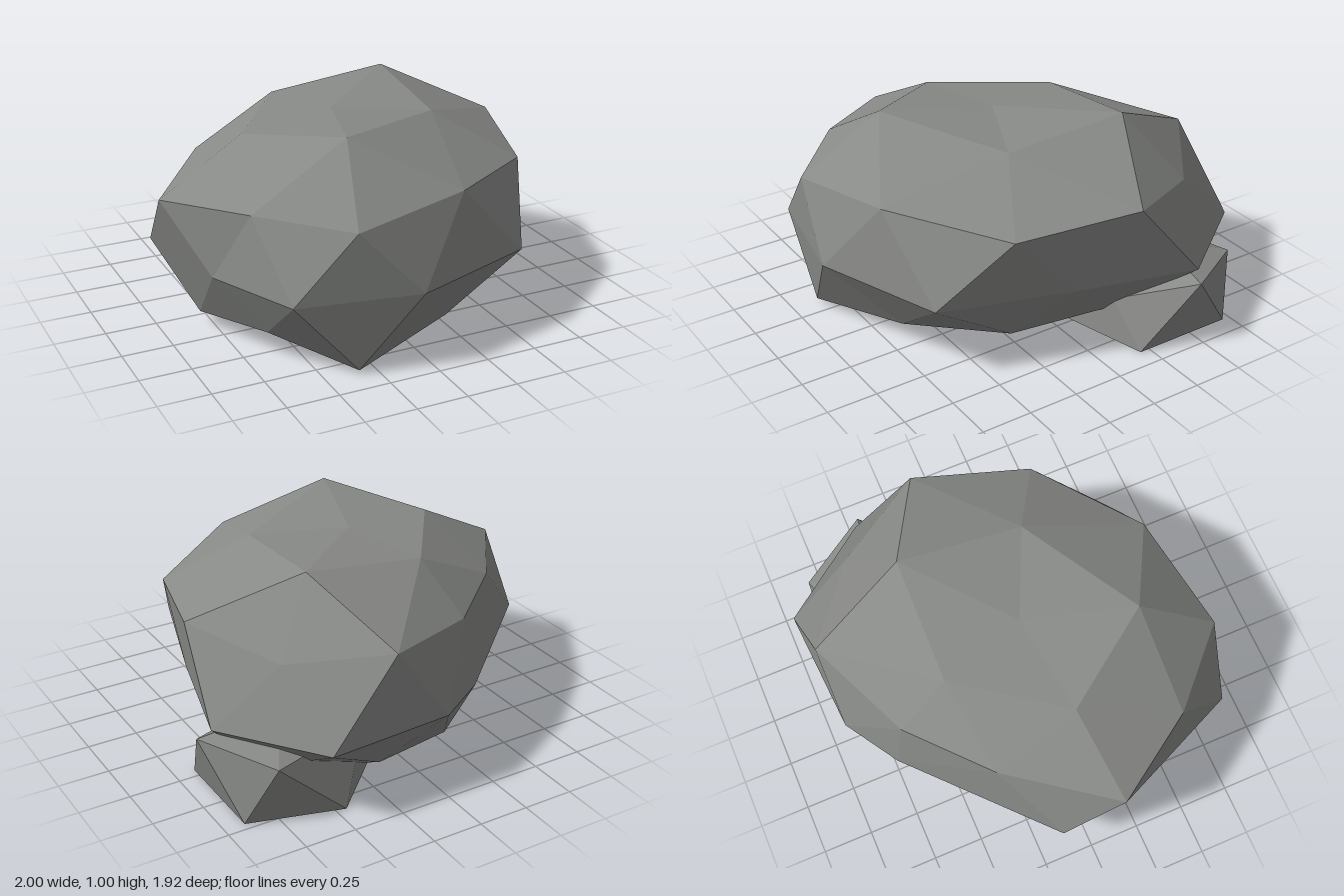
import * as THREE from 'three';

const stone = new THREE.MeshStandardMaterial({ color: 0x888a87 });
stone.name = 'grey stone';

// Unindexed triangles give flat facets.
function facetedMesh(name, triangles) {
  const geometry = new THREE.BufferGeometry();
  geometry.setAttribute('position', new THREE.Float32BufferAttribute(triangles.flat(2), 3));
  geometry.computeVertexNormals();
  const mesh = new THREE.Mesh(geometry, stone);
  mesh.name = name;
  return mesh;
}

const next = (ring, k) => ring[(k + 1) % ring.length];

// Zigzag band; 'upperLeads' means upper[k] sits just before lower[k] around the ring.
function band(triangles, lower, upper, upperLeads) {
  for (let k = 0; k < lower.length; k++) {
    if (upperLeads) {
      triangles.push([upper[k], lower[k], next(upper, k)]);
      triangles.push([lower[k], next(lower, k), next(upper, k)]);
    } else {
      triangles.push([lower[k], next(lower, k), upper[k]]);
      triangles.push([upper[k], next(lower, k), next(upper, k)]);
    }
  }
}

function fan(triangles, centre, ring, up) {
  ring.forEach((p, k) => triangles.push(up ? [centre, p, next(ring, k)] : [centre, next(ring, k), p]));
}

// Boulder: rings of corners running counterclockwise seen from above, from the front.
function createBoulder() {
  const peak = [-0.07, 0.96, 0];
  const crown = [[-0.24, 1, 0.53], [0.37, 0.94, 0.2], [0.41, 1, -0.42], [-0.2, 0.93, -0.43], [-0.56, 0.92, 0.07]];
  const shoulder = [
    [-0.36, 0.7, 0.9], [0.22, 0.76, 0.79], [0.74, 0.71, 0.41], [0.9, 0.77, -0.17], [0.65, 0.69, -0.62],
    [0.24, 0.77, -0.92], [-0.27, 0.71, -0.69], [-0.64, 0.72, -0.36], [-1, 0.69, 0.14], [-0.72, 0.72, 0.56],
  ];
  const waist = [
    [-0.06, 0.96], [0.58, 0.73], [0.78, 0.1], [0.94, -0.49], [0.59, -0.96],
    [-0.04, -0.92], [-0.31, -0.75], [-0.96, -0.15], [-0.85, 0.4], [-0.65, 0.85],
  ].map(([x, z]) => [x, 0.38, z]);
  const foot = [
    [-0.34, 0.02, 0.87], [0.2, 0.1, 0.69], [0.53, 0.08, 0.29], [0.66, 0.13, -0.16], [0.6, 0.1, -0.5],
    [0.2, 0.1, -0.72], [-0.25, 0.06, -0.6], [-0.52, 0.03, -0.35], [-0.81, 0.07, 0.1], [-0.65, 0.13, 0.55],
  ];
  const base = foot.map(([x, , z]) => [x * 0.65, 0.02, z * 0.65]);

  const triangles = [];
  fan(triangles, peak, crown, true);
  crown.forEach((a, j) => {
    const b = next(crown, j);
    const mid = shoulder[2 * j + 1];
    triangles.push([a, shoulder[2 * j], mid], [a, mid, b], [b, mid, next(shoulder, 2 * j + 1)]);
  });
  band(triangles, waist, shoulder, true);
  band(triangles, foot, waist, false);
  foot.forEach((p, k) => {
    triangles.push([p, base[k], next(foot, k)], [base[k], next(base, k), next(foot, k)]);
  });
  fan(triangles, [0, 0.02, 0], base, false);
  return facetedMesh('boulder', triangles);
}

// Smaller stone wedged under the back left side.
function createSmallStone() {
  const foot = [[0.9, -0.2], [0.9, -0.71], [0.45, -0.84], [0.05, -0.45], [0.38, -0.06]].map(([x, z]) => [x, 0, z]);
  const rim = [[1, 0.34, -0.46], [0.78, 0.3, -0.82], [0.25, 0.3, -0.65], [0.25, 0.25, -0.3], [0.7, 0.2, -0.18]];
  const triangles = [];
  band(triangles, foot, rim, false);
  fan(triangles, [0.6, 0.4, -0.5], rim, true);
  fan(triangles, [0.54, 0, -0.45], foot, false);
  return facetedMesh('smallStone', triangles);
}

export function createModel() {
  const group = new THREE.Group();
  group.name = 'rocks';
  group.add(createBoulder(), createSmallStone());
  return group;
}
